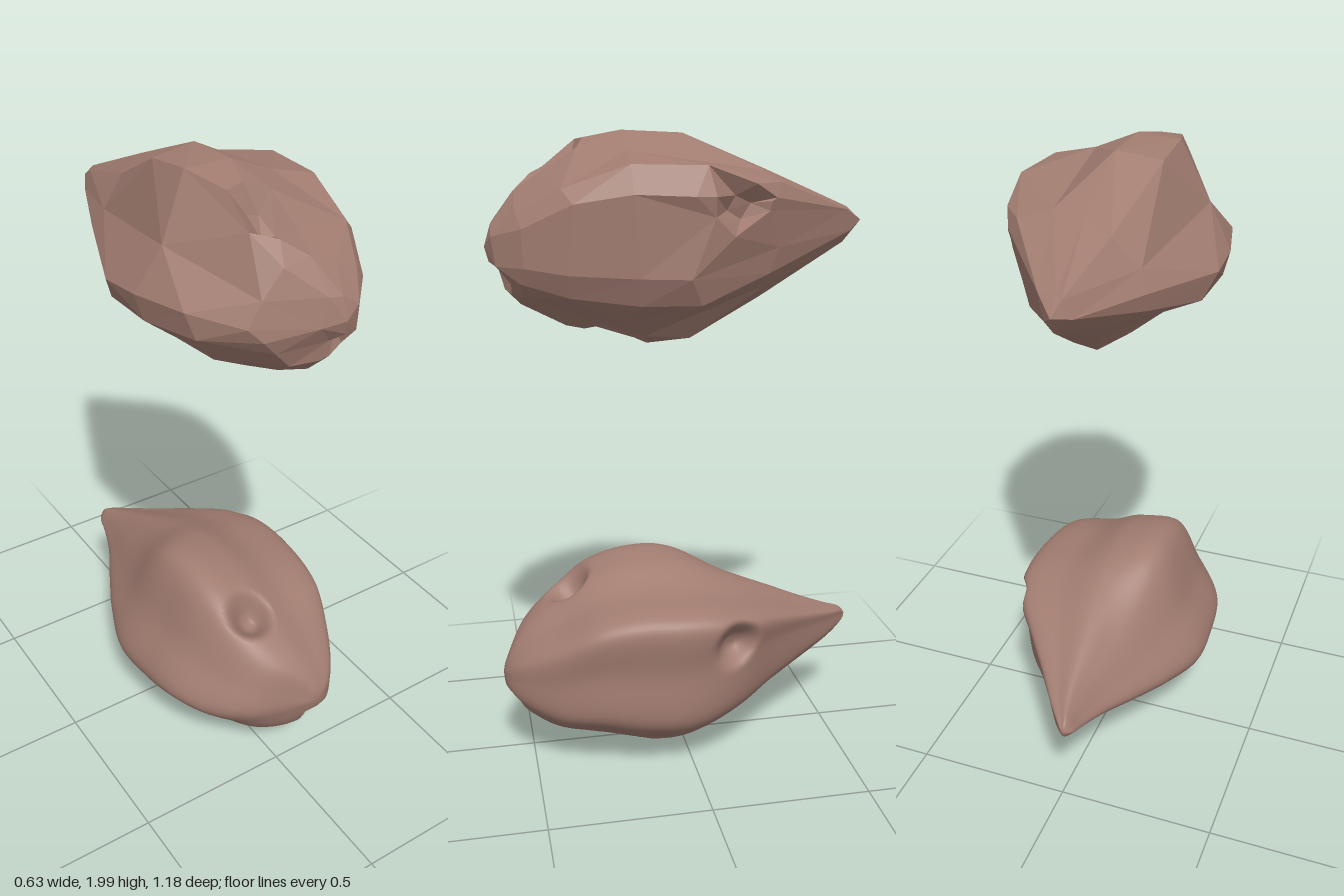
import * as THREE from 'three';
import { mergeVertices } from 'three/addons/utils/BufferGeometryUtils.js';
import { ConvexGeometry } from 'three/addons/geometries/ConvexGeometry.js';

const V = (x, y, z) => new THREE.Vector3(x, y, z);
const RAD = Math.PI / 180;
const SIZE = V(0.3, 0.3, 0.6);

// Extents from nose to tail, every 15 degrees: left x, right x, bottom y, top y
const stations = [
  [0.08, 0.08, 0.31, 0.31], [0.015, 0.14, 0.235, 0.375], [-0.13, 0.195, 0.155, 0.455],
  [-0.225, 0.245, 0.085, 0.53], [-0.288, 0.285, 0.05, 0.61], [-0.308, 0.305, 0.008, 0.646],
  [-0.308, 0.312, 0.008, 0.635], [-0.255, 0.28, 0.085, 0.57], [-0.185, 0.18, 0.165, 0.505],
  [-0.12, 0.09, 0.23, 0.45], [-0.085, 0.025, 0.28, 0.41], [-0.07, -0.02, 0.32, 0.385],
  [-0.045, -0.045, 0.355, 0.355],
];
// Ridged cross-sections in unit extents, one point every 30 degrees from +x
const bodySection = [
  [0.97, 0.1], [0.98, 0.62], [0.44, 0.78], [0, 0.96], [-0.46, 0.94], [-0.75, 0.36],
  [-1, -0.17], [-0.6, -0.54], [-0.24, -0.86], [0.13, -1], [0.55, -0.77], [0.95, -0.45],
];
const tailSection = [
  [0.92, 0.3], [1, 0.78], [0.45, 0.92], [-0.05, 1], [-0.45, 0.7], [-0.77, 0.27],
  [-1, -0.2], [-0.64, -0.56], [-0.22, -0.86], [0.15, -1], [0.5, -0.77], [0.78, -0.45],
];
const curve = (pts, closed) => new THREE.CatmullRomCurve3(pts, closed, 'catmullrom', 0.5);
const widths = curve(stations.map((s) => V(s[0], s[1], 0)), false);
const heights = curve(stations.map((s) => V(s[2], s[3], 0)), false);
const body = curve(bodySection.map(([u, v]) => V(u, v, 0)), true);
const tail = curve(tailSection.map(([u, v]) => V(u, v, 0)), true);

// Unit direction from angle off the nose and angle round the long axis
function direction(phi, theta) {
  const s = Math.sin(phi * RAD);
  return V(s * Math.cos(theta * RAD), s * Math.sin(theta * RAD), Math.cos(phi * RAD));
}

// Rock surface without craters, for a unit direction
function skin(d) {
  const t = Math.acos(THREE.MathUtils.clamp(d.z, -1, 1)) / Math.PI;
  const a = (Math.atan2(d.y, d.x) / (2 * Math.PI) + 1) % 1;
  const w = widths.getPoint(t), h = heights.getPoint(t);
  const z = 0.592 * d.z;
  const p = body.getPoint(a).lerp(tail.getPoint(a), THREE.MathUtils.smoothstep(-z, -0.1, 0.33));
  // Rounder section towards the nose
  p.lerp(V(Math.cos(a * 2 * Math.PI), Math.sin(a * 2 * Math.PI), 0),
    0.45 * THREE.MathUtils.smoothstep(z, 0.3, 0.56));
  return V(
    THREE.MathUtils.lerp(w.x, w.y, (p.x + 1) / 2),
    THREE.MathUtils.lerp(h.x, h.y, (p.y + 1) / 2),
    z,
  );
}

// Craters: place (phi, theta), radius, depth
const craters = [
  [51, 99, 0.09, 0.085],
  [19, 287, 0.06, 0.05],
  [103, 11, 0.095, 0.08],
  [69, 275, 0.1, 0.06],
].map(([phi, theta, radius, depth]) => {
  const dir = direction(phi, theta);
  return { dir, radius, depth, centre: skin(dir), inward: dir.clone().divide(SIZE).normalize().negate() };
});

function surface(d) {
  const p = skin(d), out = p.clone();
  for (const c of craters) {
    const k = 1 - THREE.MathUtils.smoothstep(p.distanceTo(c.centre) / c.radius, 0.15, 1);
    out.addScaledVector(c.inward, c.depth * k);
  }
  return out;
}

// Wrap a unit sphere's vertices onto the rock and stand it on zero
function shape(geometry) {
  const pos = geometry.attributes.position;
  for (let i = 0; i < pos.count; i++) {
    const p = surface(V(0, 0, 0).fromBufferAttribute(pos, i).normalize());
    pos.setXYZ(i, p.x, p.y, p.z);
  }
  geometry.computeBoundingBox();
  geometry.translate(0, -geometry.boundingBox.min.y, 0);
  geometry.computeVertexNormals();
  return geometry;
}

function smoothGeometry() {
  const g = new THREE.SphereGeometry(1, 160, 112).rotateX(Math.PI / 2);
  g.deleteAttribute('uv');
  g.deleteAttribute('normal');
  return shape(mergeVertices(g, 1e-5));
}

// Coarse directions along the ridges, plus small rings for each crater
function facetedGeometry() {
  let seed = 7;
  const jitter = (n) => {
    seed = (seed * 16807) % 2147483647;
    return (seed / 2147483647 - 0.5) * n;
  };
  const points = [direction(0, 0), direction(180, 0)];
  const ridges = [18, 38, 92, 120, 172, 190, 270, 322, 340], valleys = [62, 150, 212, 240, 300];
  [16, 32, 52, 72, 90, 116, 155].forEach((phi, i) => {
    let angles = i % 2 ? [...ridges, ...valleys] : ridges;
    if (i === 0 || i === 6) angles = [30, 92, 120, 180, 270, 330];
    for (const theta of angles) {
      const d = direction(phi + jitter(5), theta + jitter(4));
      const p = skin(d);
      if (craters.every((c) => p.distanceTo(c.centre) > c.radius * 1.2)) points.push(d);
    }
  });
  for (const c of craters) {
    const e1 = V(0.3, 1, 0.2).cross(c.dir).normalize();
    const e2 = c.dir.clone().cross(e1);
    for (const [count, reach] of [[6, 1], [4, 0.42]]) {
      for (let i = 0; i < count; i++) {
        const a = (i / count) * 2 * Math.PI + jitter(0.5);
        const e = e1.clone().multiplyScalar(Math.cos(a)).addScaledVector(e2, Math.sin(a));
        const stretch = e.clone().multiply(SIZE).length();
        points.push(c.dir.clone().addScaledVector(e, (c.radius * reach) / stretch).normalize());
      }
    }
  }
  return shape(new ConvexGeometry(points));
}

export function createModel() {
  const group = new THREE.Group();
  group.name = 'asteroids';
  const color = 0xa17c70;

  const smooth = new THREE.Mesh(smoothGeometry(), new THREE.MeshStandardMaterial({ color }));
  smooth.name = 'smoothAsteroid';

  const faceted = new THREE.Mesh(
    facetedGeometry(),
    new THREE.MeshStandardMaterial({ color, flatShading: true }),
  );
  faceted.name = 'facetedAsteroid';
  faceted.position.y = 1.36;

  group.add(smooth, faceted);
  return group;
}
